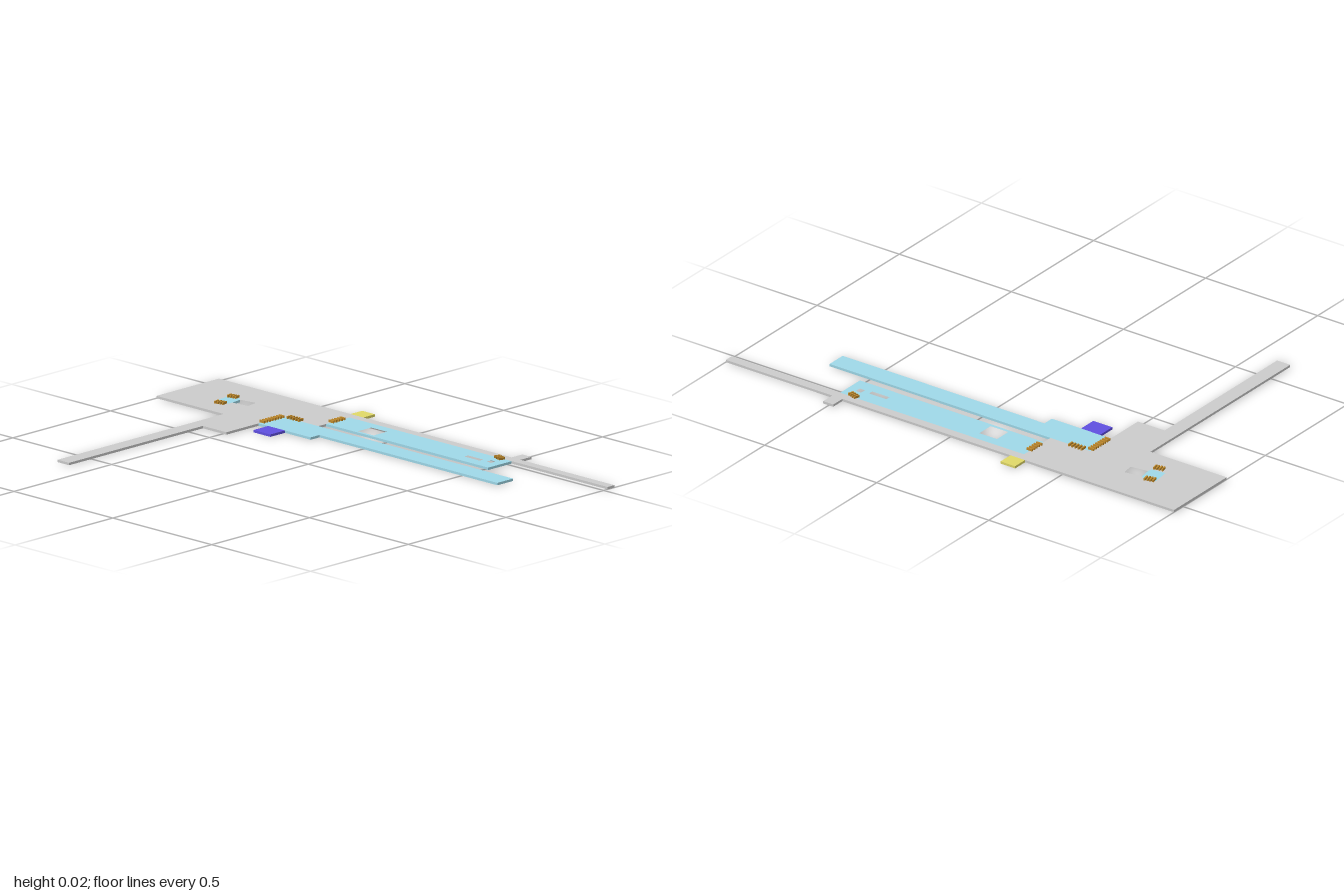
import * as THREE from 'three';

const THICK = 0.009;
const material = (color) => new THREE.MeshStandardMaterial({ color, flatShading: true });

// Flat slab from plan points [x, z], with optional holes
function slab(name, points, mat, holes = []) {
  const toVec = ([x, z]) => new THREE.Vector2(x, -z);
  const shape = new THREE.Shape(points.map(toVec));
  shape.holes = holes.map((h) => new THREE.Path(h.map(toVec)));
  const geometry = new THREE.ExtrudeGeometry(shape, { depth: THICK, bevelEnabled: false });
  geometry.rotateX(-Math.PI / 2);
  const mesh = new THREE.Mesh(geometry, mat);
  mesh.name = name;
  return mesh;
}

const rect = (x0, x1, z0, z1) => [[x0, z0], [x1, z0], [x1, z1], [x0, z1]];

// Row of thin step bars along local z, turned by angle about y
function stairs(name, x, z, count, spacing, angle, mat) {
  const group = new THREE.Group();
  group.name = name;
  for (let i = 0; i < count; i++) {
    const bar = new THREE.Mesh(new THREE.BoxGeometry(0.024, 0.009, 0.006), mat);
    bar.name = 'step';
    bar.position.z = (i - (count - 1) / 2) * spacing;
    group.add(bar);
  }
  group.position.set(x, THICK + 0.0045, z);
  group.rotation.y = angle;
  return group;
}

export function createModel() {
  const model = new THREE.Group();
  model.name = 'floorPlan';
  const grey = material(0xcccccc);
  const blue = material(0x9fd8e8);
  const yellow = material(0xe0d868);
  const purple = material(0x6050e0);
  const wood = material(0xc08a2c);

  // Tilted raised-area inset and the opening beside it
  const inset = [[0.338, -0.803], [0.41, -0.813], [0.425, -0.77], [0.41, -0.75],
    [0.363, -0.743], [0.345, -0.745]];
  const opening = [[0.363, -0.743], [0.41, -0.75], [0.42, -0.68], [0.373, -0.672]];
  const cutout = [inset[0], inset[1], inset[2], opening[1], opening[2], opening[3], opening[0], inset[5]];

  // Main grey floor with its long arm, step and narrow walkway
  model.add(slab('mainFloor', [
    [0.235, -1], [0.555, -1], [0.555, 0.48], [0.61, 0.48], [0.61, 0.525], [0.555, 0.525],
    [0.555, 1], [0.52, 1], [0.52, -0.305], [0.36, -0.305], [0.36, -0.483], [0.07, -0.483],
    [0.07, -0.602], [-0.615, -0.602], [-0.615, -0.66], [0.235, -0.66],
  ], grey, [cutout]));
  model.add(slab('insetFloor', inset, blue));

  // Blue wings
  model.add(slab('leftWing', [
    [0.235, -0.483], [0.36, -0.483], [0.36, 0.68], [0.28, 0.68], [0.28, -0.22], [0.235, -0.22],
  ], blue));
  model.add(slab('rightWing', rect(0.4, 0.52, -0.305, 0.515), blue, [
    rect(0.412, 0.481, -0.156, -0.077),
    rect(0.444, 0.463, 0.351, 0.428),
    rect(0.452, 0.475, 0.455, 0.478),
  ]));

  // Small coloured side rooms
  model.add(slab('yellowRoom', rect(0.555, 0.615, -0.335, -0.27), yellow));
  model.add(slab('purpleRoom', rect(0.16, 0.235, -0.435, -0.35), purple));

  // Stair flights
  const quarter = Math.PI / 2;
  model.add(
    stairs('wideStairs', 0.3, -0.48, 8, 0.014, quarter, wood),
    stairs('sideStairs', 0.362, -0.425, 5, 0.014, 0, wood),
    stairs('wingStairs', 0.455, -0.304, 5, 0.014, quarter, wood),
    stairs('insetStairsA', 0.326, -0.766, 4, 0.011, 0.2, wood),
    stairs('insetStairsB', 0.415, -0.79, 4, 0.011, 0.2, wood),
    stairs('endStairs', 0.513, 0.46, 4, 0.011, -0.3, wood),
  );
  return model;
}
